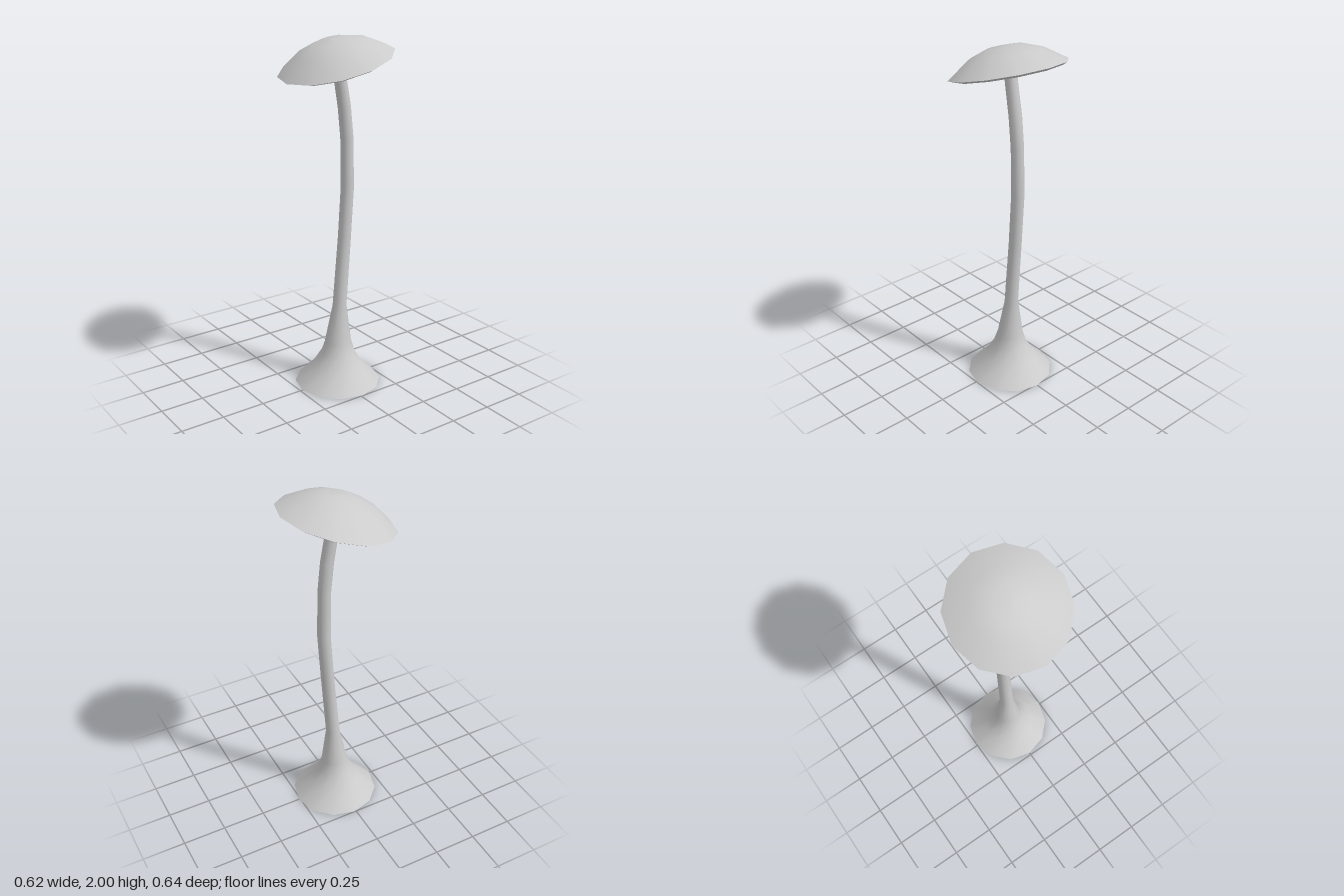
import * as THREE from 'three';

const SIDES = 12;
const material = new THREE.MeshStandardMaterial({ color: 0xcccccc, side: THREE.DoubleSide });

// Skin a row of round cross-sections [centre x, centre y, radius, tilt] into an open tube
function skinRings(rings) {
  const positions = [], index = [];
  rings.forEach(([cx, cy, r, tilt], i) => {
    for (let j = 0; j < SIDES; j++) {
      const a = (j / SIDES) * Math.PI * 2;
      const u = r * Math.cos(a);
      positions.push(cx + u * Math.cos(tilt), cy + u * Math.sin(tilt), r * Math.sin(a));
      if (i === 0) continue;
      const k = (j + 1) % SIDES;
      const low = (i - 1) * SIDES, high = i * SIDES;
      index.push(low + j, high + j, low + k, low + k, high + j, high + k);
    }
  });
  const geometry = new THREE.BufferGeometry();
  geometry.setAttribute('position', new THREE.Float32BufferAttribute(positions, 3));
  geometry.setIndex(index);
  geometry.computeVertexNormals();
  return geometry;
}

export function createModel() {
  const group = new THREE.Group();
  group.name = 'mushroom';

  // Bent stem: hollow flared foot, slim shaft, small collar under the cap
  const stem = new THREE.Mesh(skinRings([
    [0.012, 0, 0.248, 0],
    [0.012, 0.1, 0.148, 0],
    [0.012, 0.18, 0.099, 0],
    [0.014, 0.25, 0.076, 0],
    [0.025, 0.47, 0.04, -0.06],
    [0.058, 0.88, 0.037, -0.07],
    [0.077, 1.17, 0.037, -0.02],
    [0.072, 1.45, 0.036, 0.08],
    [0.055, 1.62, 0.036, 0.15],
    [0.013, 1.86, 0.034, 0.22],
    [0.005, 1.895, 0.038, 0.26],
    [-0.002, 1.92, 0.062, 0.26],
  ]), material);
  stem.name = 'stem';
  group.add(stem);

  // Cap: domed top and hollow underside meeting at a thin lip, tilted as one
  const cap = new THREE.Group();
  cap.name = 'cap';
  cap.position.set(0, 1.862, 0);
  cap.rotation.z = 0.262;
  const profiles = {
    capTop: [[0.319, 0], [0.2, 0.081], [0.095, 0.119], [0, 0.125]],
    capLip: [[0.292, -0.012], [0.319, 0]],
    capUnderside: [[0, 0.065], [0.06, 0.06], [0.18, 0.03], [0.292, -0.012]],
  };
  for (const [name, points] of Object.entries(profiles)) {
    const part = new THREE.Mesh(
      new THREE.LatheGeometry(points.map(([r, y]) => new THREE.Vector2(r, y)), SIDES), material);
    part.name = name;
    cap.add(part);
  }
  group.add(cap);
  return group;
}
